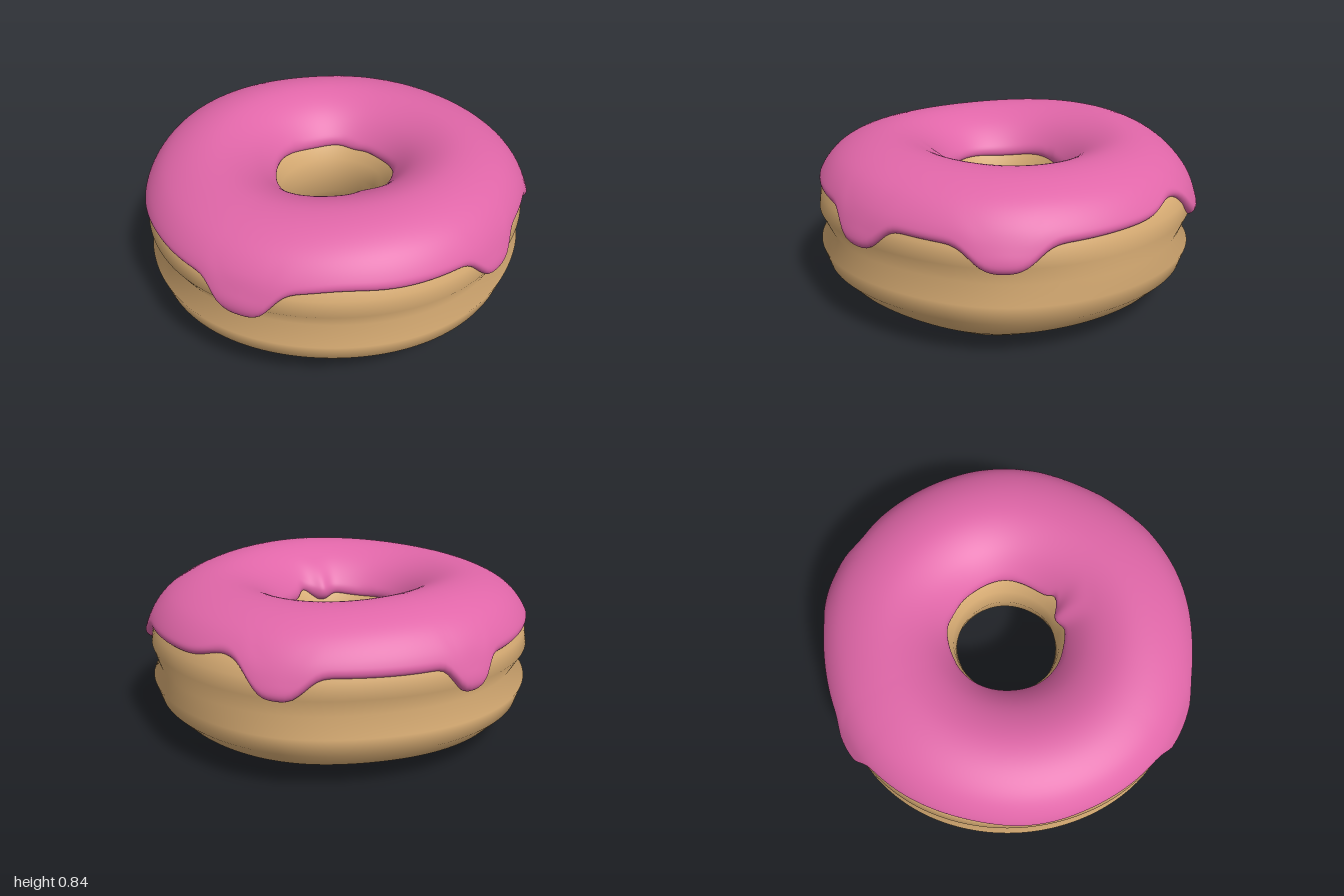
import * as THREE from 'three';

const SEG = 240; // steps around the ring
const DEG = Math.PI / 180;

// Cross-section of the dough (radius, height): up the hole, over the top, down the outside, back underneath
const upper = [[0.265, 0.42], [0.28, 0.52], [0.33, 0.625], [0.42, 0.722], [0.52, 0.778], [0.62, 0.8], [0.74, 0.784],
  [0.855, 0.728], [0.928, 0.648], [0.96, 0.57], [0.972, 0.49], [0.918, 0.395]];
const lower = [[0.974, 0.305], [0.945, 0.21], [0.87, 0.13], [0.76, 0.075], [0.62, 0.047], [0.5, 0.065], [0.42, 0.11],
  [0.35, 0.18], [0.295, 0.29]];
const toV = ([r, y]) => new THREE.Vector3(r, y, 0);
const doughPoints = [...upper, ...lower].map(toV);
const topCurve = new THREE.CatmullRomCurve3(upper.map(toV));

// Soft bump around an angle in degrees
function bump(deg, centre, width, power = 2) {
  const d = Math.abs(((deg - centre + 540) % 360) - 180);
  return Math.exp(-Math.pow(d / width, power));
}

// Hand-made unevenness shared by dough and icing
function wobble(r, y, a) {
  const deg = a / DEG;
  const outer = THREE.MathUtils.smoothstep(r, 0.4, 0.9);
  const k = 1.01 - 0.006 * Math.cos(2 * a) + 0.005 * Math.sin(5 * a + 1)
    + outer * (0.014 * bump(deg, -50, 18) - 0.03 * bump(deg, -150, 22) - 0.006 * bump(deg, 140, 20));
  const top = THREE.MathUtils.smoothstep(y, 0.45, 0.8);
  const bottom = 1 - THREE.MathUtils.smoothstep(y, 0.04, 0.3);
  const x = r * k * Math.cos(a), z = r * k * Math.sin(a);
  const sag = Math.exp(-((x - 0.44) ** 2 + (z + 0.45) ** 2) / 0.11);
  const dy = top * (0.013 * Math.cos(2 * a) + 0.004 * Math.sin(3 * a)) - bottom * 0.045 * sag;
  return [x + 0.004, y + dy, z - 0.005];
}

// Skin a ring from one cross-section per angle
function ring(section, closed, color, name) {
  const pos = [], idx = [];
  let n = 0;
  for (let i = 0; i < SEG; i++) {
    const a = (i / SEG) * Math.PI * 2;
    const pts = section(a);
    n = pts.length;
    for (const p of pts) pos.push(...wobble(p.x, p.y, a));
  }
  for (let i = 0; i < SEG; i++) {
    const i2 = (i + 1) % SEG;
    for (let j = 0; j < (closed ? n : n - 1); j++) {
      const j2 = (j + 1) % n;
      const a = i * n + j, b = i2 * n + j, c = i2 * n + j2, d = i * n + j2;
      idx.push(a, b, d, b, c, d);
    }
  }
  const g = new THREE.BufferGeometry();
  g.setAttribute('position', new THREE.Float32BufferAttribute(pos, 3));
  g.setIndex(idx);
  g.computeVertexNormals();
  const mesh = new THREE.Mesh(g, new THREE.MeshStandardMaterial({ color, side: THREE.DoubleSide }));
  mesh.name = name;
  return mesh;
}

// Dough section with a crease that is shallower towards the back and the left side of the front
function doughSection(a) {
  const fill = 0.035 * bump(a / DEG, -90, 35) + 0.015 * bump(a / DEG, 0, 25);
  return doughPoints.map((p, i) => (i === upper.length - 1 ? new THREE.Vector3(p.x + fill, p.y, 0) : p));
}

// Curve parameter where the top curve reaches a height, on the hole side or the outer side
function findHeight(y, outer) {
  let lo = outer ? 0.5 : 0, hi = outer ? 1 : 0.5;
  for (let i = 0; i < 24; i++) {
    const m = (lo + hi) / 2;
    if ((topCurve.getPoint(m).y > y) === outer) lo = m; else hi = m;
  }
  return lo;
}

// Drips on the outside: angle, depth, half width
const drips = [[64, 0.155, 9], [-11.5, 0.12, 8.5], [-54, 0.115, 9.5], [-126, 0.115, 8.5], [180, 0.125, 6.5]];

function outerEdge(deg) {
  let y = 0.592 + 0.01 * Math.sin(deg * DEG * 3 + 0.8);
  for (const [c, depth, w] of drips) y -= depth * bump(deg, c, w, 3);
  y -= 0.035 * bump(deg, 118, 15);
  y += 0.045 * bump(deg, -109, 8) + 0.02 * bump(deg, 38, 12);
  return y;
}

function innerEdge(deg) {
  return 0.592 + 0.006 * Math.sin(deg * DEG * 5) - 0.035 * bump(deg, 17, 10, 2.6)
    + 0.03 * bump(deg, -3, 7) - 0.015 * bump(deg, -120, 12);
}

function icingSection(a) {
  const deg = a / DEG;
  const u0 = findHeight(innerEdge(deg), false), u1 = findHeight(outerEdge(deg), true);
  const drip = Math.max(...drips.map(([c, , w]) => bump(deg, c, w)));
  const innerDrip = bump(deg, 17, 9);
  const pts = [], N = 60;
  for (let j = 0; j <= N; j++) {
    // rows crowd towards both edges so the lips stay round
    const s = (1 - Math.cos((j / N) * Math.PI)) / 2;
    const u = u0 + (u1 - u0) * s;
    const p = topCurve.getPoint(u), t = topCurve.getTangent(u);
    const e = Math.min(1, Math.min(s, 1 - s) / 0.06);
    const lip = Math.sqrt(1 - (1 - e) ** 2);
    const bulge = 0.01 * drip * THREE.MathUtils.smoothstep(s, 0.75, 0.95)
      + 0.026 * innerDrip * (1 - THREE.MathUtils.smoothstep(s, 0.05, 0.3));
    const h = (0.031 + bulge) * lip - 0.006;
    pts.push(new THREE.Vector3(p.x - t.y * h, p.y + t.x * h, 0));
  }
  return pts;
}

export function createModel() {
  const group = new THREE.Group();
  group.name = 'donut';
  group.add(ring(doughSection, true, 0xdaae75, 'dough'));
  group.add(ring(icingSection, false, 0xe066a8, 'icing'));
  return group;
}
